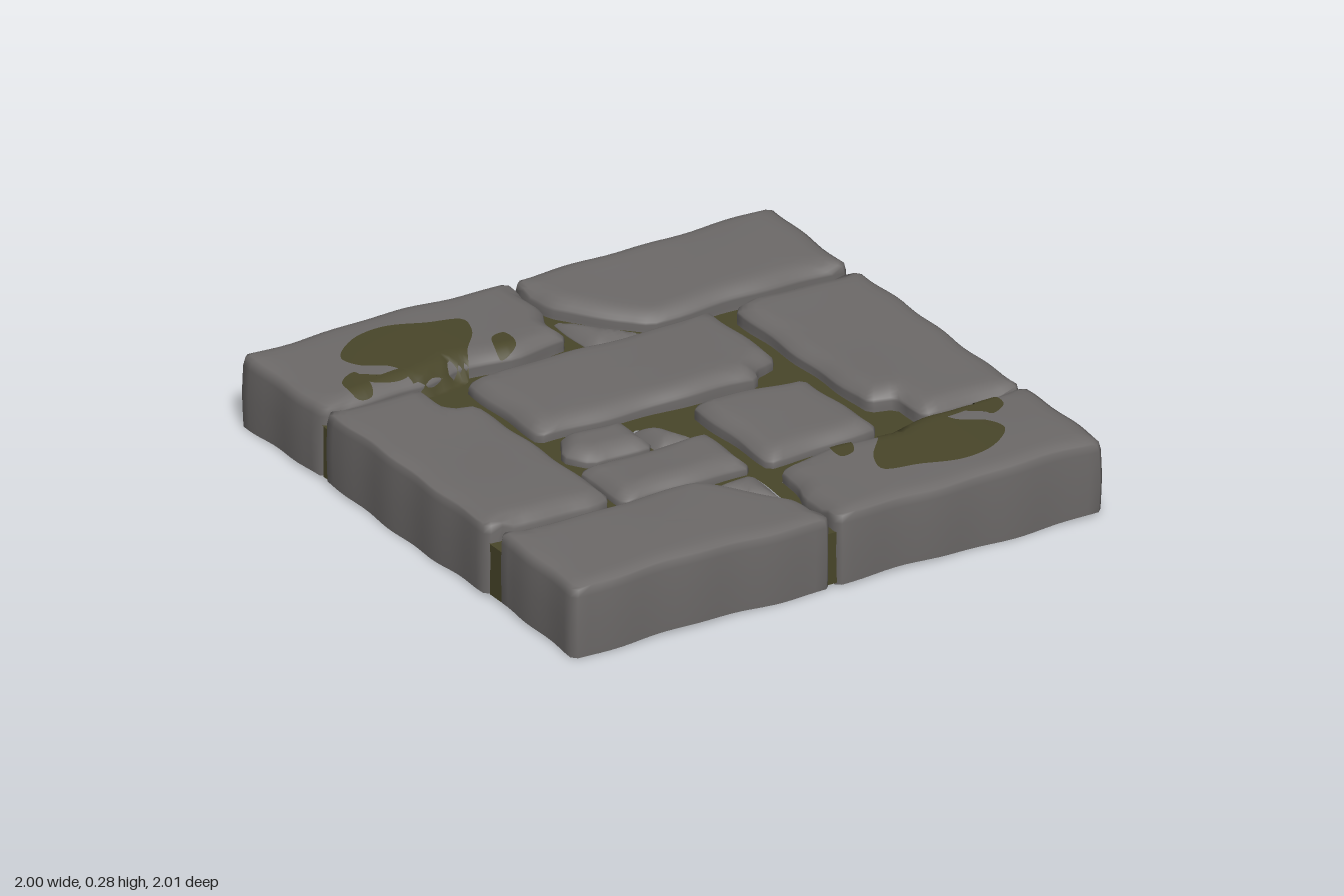
import * as THREE from 'three';

const FLOOR = 0.19; // moss level between the stones
const stoneMat = new THREE.MeshStandardMaterial({ name: 'grey stone', color: 0x6d6a69, side: THREE.DoubleSide });
const mossMat = new THREE.MeshStandardMaterial({ name: 'dark moss', color: 0x49462a, side: THREE.DoubleSide });

const STONES = [];
// corners are x, z pairs
function addStone(name, height, corners) {
  STONES.push({ name, height, outline: softenOutline(corners) });
}
// The outer ring of the paving repeats after half a turn
function addStonePair(name, height, corners) {
  addStone(name, height, corners);
  addStone(name + 'Opposite', height, corners.map(([x, z]) => [-x, -z]));
}

addStonePair('cornerSlab', 0.263, [[-0.99, -0.995], [0.005, -0.995], [0, -0.78], [-0.035, -0.7], [-0.035, -0.57], [-0.25, -0.54], [-0.45, -0.57], [-0.6, -0.525], [-0.99, -0.515]]);
addStonePair('chippedSlab', 0.262, [[0.025, -0.995], [0.99, -0.995], [0.985, -0.53], [0.25, -0.53], [0.17, -0.62], [0.03, -0.8]]);
addStonePair('cornerChip', 0.228, [[0.02, -0.765], [0.16, -0.61], [0.23, -0.535], [0.02, -0.51]]);
addStonePair('sideSlab', 0.262, [[-0.99, -0.5], [-0.63, -0.495], [-0.62, -0.34], [-0.53, -0.32], [-0.52, 0.46], [-0.6, 0.49], [-0.99, 0.475]]);
addStone('innerLongSlab', 0.254, [[-0.47, -0.49], [0.45, -0.5], [0.46, -0.11], [0.36, -0.08], [0.33, -0.02], [-0.47, -0.05]]);
addStone('innerRightSlab', 0.252, [[0.04, 0.04], [0.46, 0.06], [0.47, 0.48], [0.05, 0.49]]);
addStone('innerLeftSlab', 0.248, [[-0.49, 0.215], [-0.02, 0.235], [-0.01, 0.49], [-0.49, 0.485]]);
addStone('smallStone', 0.252, [[-0.42, -0.005], [-0.2, 0.005], [-0.195, 0.2], [-0.42, 0.195], [-0.48, 0.1]]);
addStone('innerChip', 0.222, [[-0.18, 0.02], [-0.09, 0.07], [-0.03, 0.22], [-0.18, 0.21]]);

// Cuts the corners, subdivides the edges and adds a slight wobble
function softenOutline(corners) {
  const p = corners.map(c => new THREE.Vector2(...c)), cut = [], out = [];
  p.forEach((b, i) => {
    for (const other of [p.at(i - 1), p[(i + 1) % p.length]]) {
      const len = b.distanceTo(other);
      cut.push(b.clone().lerp(other, Math.min(0.018, len / 3) / len));
    }
  });
  cut.forEach((a, i) => {
    const b = cut[(i + 1) % cut.length];
    const n = Math.max(1, Math.round(a.distanceTo(b) / 0.04));
    for (let k = 0; k < n; k++) {
      const q = a.clone().lerp(b, k / n);
      out.push(new THREE.Vector2(q.x + 0.004 * Math.sin(q.y * 23 + 1), q.y + 0.004 * Math.sin(q.x * 21)));
    }
  });
  return out;
}

function inside(x, z, poly) {
  let hit = false;
  poly.forEach((a, i) => {
    const b = poly.at(i - 1);
    if ((a.y > z) !== (b.y > z) && x < (b.x - a.x) * (z - a.y) / (b.y - a.y) + a.x) hit = !hit;
  });
  return hit;
}

function edgeDistance(x, z, poly) {
  let best = Infinity;
  poly.forEach((a, i) => {
    const b = poly.at(i - 1), dx = b.x - a.x, dz = b.y - a.y;
    const t = THREE.MathUtils.clamp(((x - a.x) * dx + (z - a.y) * dz) / (dx * dx + dz * dz), 0, 1);
    best = Math.min(best, Math.hypot(x - a.x - t * dx, z - a.y - t * dz));
  });
  return best;
}

// Worn top: gentle swells, rounded off towards the stone's edge
function stoneTop(stone, x, z) {
  const swell = 0.006 * Math.sin(5 * x + 1) * Math.cos(4 * z) + 0.004 * Math.sin(9 * x + 7 * z);
  const e = Math.max(0, 1 - edgeDistance(x, z, stone.outline) / 0.06);
  const outer = Math.max(Math.abs(x), Math.abs(z)) > 0.93;
  return stone.height + swell - (outer ? 0.018 : 0.036) * e * e;
}

function surface(x, z) {
  const stone = STONES.find(s => inside(x, z, s.outline));
  return stone ? Math.max(FLOOR, stoneTop(stone, x, z)) : FLOOR;
}

// Skins a list of equally long rings of [x, y, z]
function skin(rings) {
  const n = rings[0].length, index = [];
  for (let r = 0; r < rings.length - 1; r++) {
    for (let i = 0; i < n; i++) {
      const a = r * n + i, b = r * n + (i + 1) % n;
      index.push(a, a + n, b, b, a + n, b + n);
    }
  }
  const g = new THREE.BufferGeometry();
  g.setAttribute('position', new THREE.Float32BufferAttribute(rings.flat(2), 3));
  g.setIndex(index);
  g.computeVertexNormals();
  return g;
}

// Open-bottomed stone: walls, rounded rim, then rings closing on the middle
function stoneGeometry(stone) {
  const c = new THREE.Box2().setFromPoints(stone.outline).getCenter(new THREE.Vector2());
  const base = p => Math.max(Math.abs(p.x), Math.abs(p.y)) > 0.965
    ? 0.006 + 0.006 * Math.sin(p.x * 8 + p.y * 6) : FLOOR - 0.015;
  const rings = [0, 0.12, 0.5, 0.9].map(t => stone.outline.map(p => {
    const bulge = 1 + 0.004 * Math.sin(t * Math.PI);
    return [p.x * bulge, THREE.MathUtils.lerp(base(p), stoneTop(stone, p.x, p.y), t), p.y * bulge];
  }));
  for (const t of [0.01, 0.04, 0.08, 0.13, 0.2, 0.32, 0.48, 0.65, 0.82, 0.999]) {
    rings.push(stone.outline.map(p => {
      const q = p.clone().lerp(c, t);
      return [q.x, stoneTop(stone, q.x, q.y), q.y];
    }));
  }
  return skin(rings);
}

// Thin moss skin that follows the stones; lift sets it above or below them
function mossPatch(points, lift) {
  const curve = new THREE.CatmullRomCurve3(points.map(([x, z]) => new THREE.Vector3(x, 0, z)), true);
  const edge = curve.getPoints(56).slice(0, -1);
  const c = edge.reduce((sum, p) => sum.add(p), new THREE.Vector3()).divideScalar(edge.length);
  return skin([0, 0.1, 0.2, 0.35, 0.5, 0.65, 0.8, 0.999].map(t => edge.map(p => {
    const q = p.clone().lerp(c, t);
    return [q.x, surface(q.x, q.z) + lift, q.z];
  })));
}

// Main blotch, its side arm and drip, and a small spot
const PATCHES = [
  [[-0.76, -0.77], [-0.66, -0.86], [-0.54, -0.88], [-0.4, -0.84], [-0.28, -0.81], [-0.3, -0.72], [-0.38, -0.62], [-0.44, -0.53], [-0.62, -0.52], [-0.66, -0.63], [-0.74, -0.69]],
  [[-0.79, -0.65], [-0.75, -0.6], [-0.64, -0.6], [-0.64, -0.56], [-0.77, -0.57]],
  [[-0.85, -0.62], [-0.78, -0.66], [-0.79, -0.53], [-0.85, -0.53]],
  [[-0.27, -0.65], [-0.22, -0.66], [-0.23, -0.57], [-0.3, -0.55]],
];

export function createModel() {
  const model = new THREE.Group();
  const add = (name, geometry, material) => {
    const mesh = new THREE.Mesh(geometry, material);
    mesh.name = name;
    model.add(mesh);
  };

  for (const stone of STONES) add(stone.name, stoneGeometry(stone), stoneMat);

  // Moss bed, left open under every stone
  const s = 0.982, lim = 0.976;
  const bed = new THREE.Shape([[-s, -s], [s, -s], [s, s], [-s, s]].map(p => new THREE.Vector2(...p)));
  for (const stone of STONES) {
    bed.holes.push(new THREE.Path(stone.outline.map(p => new THREE.Vector2(
      THREE.MathUtils.clamp(p.x, -lim, lim), THREE.MathUtils.clamp(p.y, -lim, lim)))));
  }
  add('mossBed', new THREE.ShapeGeometry(bed).rotateX(Math.PI / 2).translate(0, FLOOR, 0), mossMat);

  for (const turn of [1, -1]) {
    // Moss patches on two opposite corners, showing through underneath
    for (const patch of PATCHES) {
      const points = patch.map(([x, z]) => [x * turn, z * turn]);
      for (const lift of [0.004, -0.004]) add('mossPatch', mossPatch(points, lift), mossMat);
    }
    // Moss filling the joints on the outer sides: x, z, width along x, width along z
    for (const [x, z, w, d] of [[0.975, -0.505, 0.008, 0.07], [0.975, 0.5, 0.008, 0.05], [0.015, -0.98, 0.04, 0.008]]) {
      add('jointMoss', new THREE.BoxGeometry(w, FLOOR - 0.01, d).translate(x * turn, FLOOR / 2 + 0.005, z * turn), mossMat);
    }
  }
  return model;
}
